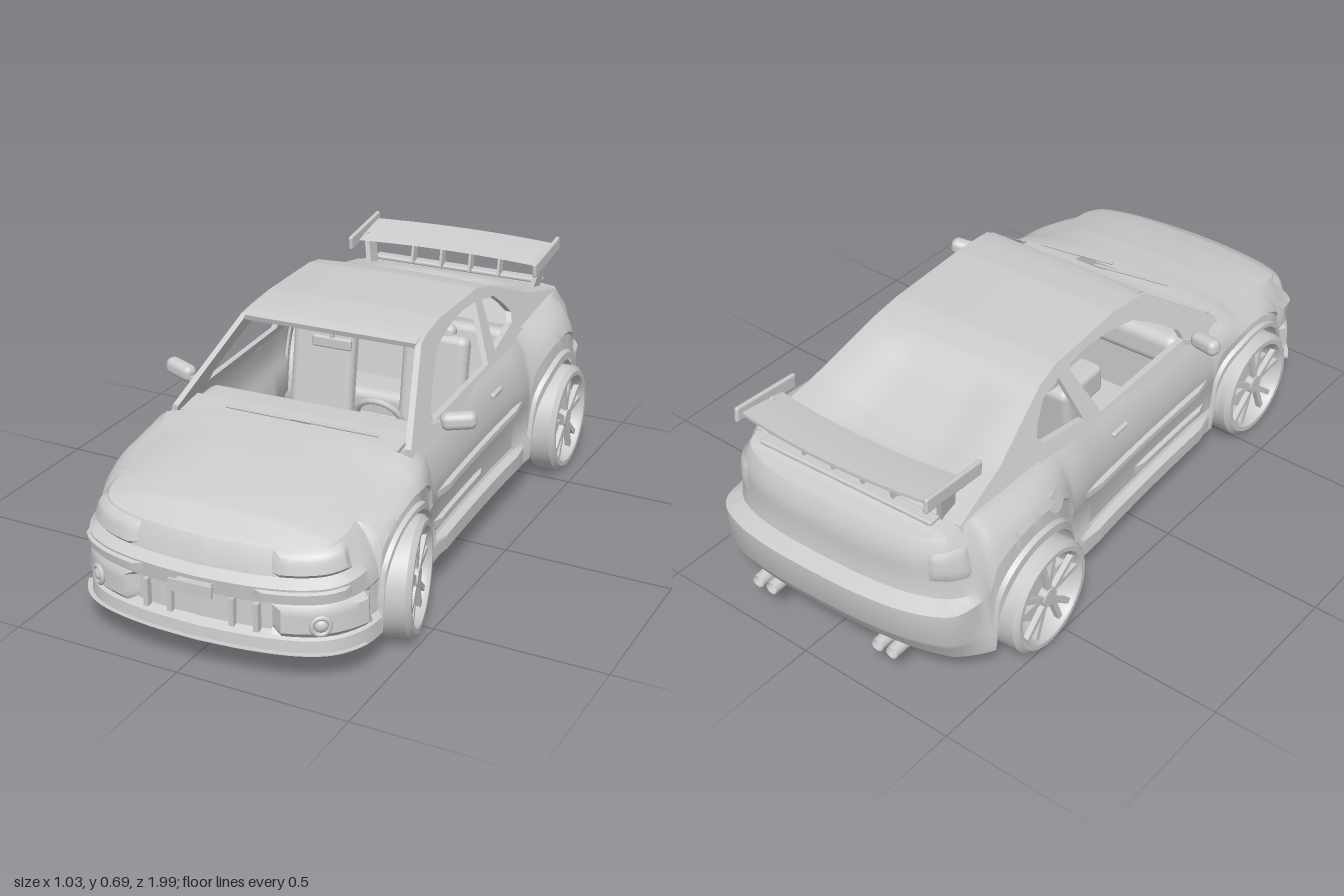
import * as THREE from 'three';
import { toCreasedNormals } from 'three/addons/utils/BufferGeometryUtils.js';
import { RoundedBoxGeometry } from 'three/addons/geometries/RoundedBoxGeometry.js';

const paint = new THREE.MeshStandardMaterial({ color: 0xcccccc, side: THREE.DoubleSide });
const SIDES = [-1, 1];
const { smoothstep } = THREE.MathUtils;

function add(parent, name, geometry, x = 0, y = 0, z = 0, rx = 0, ry = 0, rz = 0) {
  const mesh = new THREE.Mesh(geometry, paint);
  mesh.name = name;
  mesh.position.set(x, y, z);
  mesh.rotation.set(rx, ry, rz);
  parent.add(mesh);
}
const box = (w, h, d) => new THREE.BoxGeometry(w, h, d);
const soft = (w, h, d, r) => new RoundedBoxGeometry(w, h, d, 3, r);
const rod = (r, len, n = 12) => new THREE.CylinderGeometry(r, r, len, n);

// Sheet of quads from a function of two parameters in 0..1
function sheet(nu, nv, fn) {
  const pos = [], index = [];
  for (let i = 0; i <= nu; i++) for (let j = 0; j <= nv; j++) {
    pos.push(...fn(i / nu, j / nv));
    if (i < nu && j < nv) {
      const a = i * (nv + 1) + j, b = a + nv + 1;
      index.push(a, b, a + 1, b, b + 1, a + 1);
    }
  }
  const g = new THREE.BufferGeometry();
  g.setAttribute('position', new THREE.Float32BufferAttribute(pos, 3));
  g.setIndex(index);
  return toCreasedNormals(g, .6);
}

// Linear interpolation in a list of [key, value], keys descending
function keyed(keys, k) {
  if (k >= keys[0][0]) return keys[0][1];
  for (let i = 1; i < keys.length; i++) {
    const [a, va] = keys[i - 1], [b, vb] = keys[i];
    if (k >= b) return va + (vb - va) * (a - k) / (a - b);
  }
  return keys[keys.length - 1][1];
}

// Half plan outline from nose to tail as (x, z)
const LENGTH = 2.6;
const outline = new THREE.SplineCurve([
  [0, .965], [.15, .955], [.28, .927], [.365, .875], [.415, .78], [.43, .65], [.43, .5], [.405, .36], [.4, .1],
  [.405, -.2], [.42, -.38], [.447, -.5], [.45, -.65], [.436, -.78], [.393, -.9], [.29, -.96], [.15, -.985], [0, -.99],
].map(p => new THREE.Vector2(...p)));
outline.arcLengthDivisions = 500;

const shoulder = [[.965, .365], [.87, .38], [.78, .395], [.6, .418], [.42, .45], [.25, .462], [-.2, .475],
  [-.45, .495], [-.75, .505], [-.88, .497], [-.99, .485]];
const hem = [[.8, .09], [.7, .1], [-.78, .1], [-.9, .115], [-.99, .15]];
const crown = [[.91, 0], [.83, .032], [.6, .048], [.42, .035], [-.4, 0], [-.75, .012], [-.9, 0]];
// Rows: height fraction, then inset at the flank, nose and tail
const rows = [[0, 0, 0, .04], [.15, 0, .005, .01], [.2, .012, .03, 0], [.47, .008, .035, 0], [.52, 0, .005, .05],
  [.68, .004, 0, .06], [.75, .008, .028, .058], [.9, .02, .04, .065], [1, .042, .055, .085]];
const AXLES = [.555, -.585], HUB = .166, ARCH = .184;

function lowerEdge(z) {
  let y = keyed(hem, z);
  for (const c of AXLES) {
    const d = Math.abs(z - c);
    if (d < ARCH) y = Math.max(y, HUB + Math.sqrt(ARCH * ARCH - d * d));
  }
  return y;
}
function insetAt(f, z) {
  let j = 1;
  while (j < rows.length - 1 && rows[j][0] < f) j++;
  const a = rows[j - 1], b = rows[j], k = (f - a[0]) / (b[0] - a[0]);
  const v = i => a[i] + (b[i] - a[i]) * k;
  const nose = smoothstep(z, .7, .9), tail = smoothstep(-z, .75, .92);
  // Fenders lean inwards towards their tops
  const lean = .045 * f * f * Math.max(smoothstep(z, .4, .55), smoothstep(-z, .3, .5));
  return (v(1) + lean) * (1 - nose - tail) + v(2) * nose + v(3) * tail;
}
// Point on the lower body: arc length from the nose, height fraction, side, outward offset
function skin(arc, f, side = 1, off = 0) {
  const t = Math.min(1, Math.max(0, arc / LENGTH));
  const p = outline.getPointAt(t), d = outline.getTangentAt(t), lo = lowerEdge(p.y);
  const inset = insetAt(f, p.y) - off, ends = t === 0 || t === 1;
  const x = ends ? 0 : Math.max(0, p.x + d.y * inset);
  return [side * x, lo + (keyed(shoulder, p.y) - lo) * f, p.y - d.x * inset];
}
// Raised panel following the lower body
const patch = (a0, a1, f0, f1, side, off) => sheet(10, 6, (u, v) => {
  const rim = u === 0 || u === 1 || v === 0 || v === 1;
  return skin(a0 + (a1 - a0) * u, f0 + (f1 - f0) * v, side, rim ? 0 : off);
});
// Panel across the car between the two flanks, at the shoulder (f = 1) or the hem (f = 0)
const lid = (a0, a1, f) => sheet(50, 16, (u, v) => {
  const [x, y, z] = skin(a0 + (a1 - a0) * u, f), s = v * 2 - 1;
  return [x * s, y + f * keyed(crown, z) * (1 - Math.abs(s) ** 3), z];
});

// Greenhouse
const roofLine = [[.42, .465], [.155, .66], [.1, .67], [0, .679], [-.28, .672], [-.365, .653], [-.6, .555], [-.8, .505]];
const pillarX = y => .36 - (y - .47) * .43;
function cabinSide(side) {
  const poly = pts => pts.map(p => new THREE.Vector2(...p));
  const shape = new THREE.Shape(poly([...roofLine, [-.8, .48], [-.2, .455], [.42, .44]]));
  shape.holes.push(
    new THREE.Path(poly([[.25, .478], [.24, .51], [.16, .57], [.07, .625], [-.04, .645], [-.14, .652], [-.24, .645], [-.175, .483]])),
    new THREE.Path(poly([[-.25, .5], [-.285, .637], [-.365, .622], [-.41, .585], [-.44, .55], [-.42, .525]])));
  const g = new THREE.ExtrudeGeometry(shape, { depth: .018, bevelEnabled: false });
  const p = g.attributes.position;
  for (let i = 0; i < p.count; i++) {
    const z = p.getX(i), y = p.getY(i), c = p.getZ(i);
    p.setXYZ(i, side * (pillarX(y) - c), y, z);
  }
  g.computeVertexNormals();
  return g;
}
// Roof panel running into a slightly dished rear window
const roof = () => sheet(60, 24, (u, v) => {
  const z = .16 - .96 * u, s = v * 2 - 1, y = keyed(roofLine, z);
  const dish = .025 * smoothstep(-z, .37, .45) * smoothstep(z, -.76, -.66) * (1 - smoothstep(Math.abs(s), .3, .85));
  return [pillarX(y) * s, y + .008 * (1 - s * s) - dish, z];
});

// Wheel with its outer face towards +x
function wheel(name, half) {
  const g = new THREE.Group();
  g.name = name;
  const profile = [[.13, -half], [.152, -half], [.166, -half + .014], [.166, half - .014], [.152, half], [.138, half],
    [.132, half - .008], [.128, half - .02], [.124, -half + .01], [.13, -half]];
  const tyre = new THREE.LatheGeometry(profile.map(p => new THREE.Vector2(...p)), 40).rotateZ(-Math.PI / 2);
  add(g, 'tyreAndRim', toCreasedNormals(tyre, .7));
  for (let i = 0; i < 5; i++) for (const s of SIDES) {
    const a = i * Math.PI * .4 + s * .15;
    add(g, 'spoke', box(.016, .112, .016), half - .02, Math.cos(a) * .075, Math.sin(a) * .075, a + s * .1);
  }
  add(g, 'hub', rod(.028, .025, 20), half - .02, 0, 0, 0, 0, Math.PI / 2);
  add(g, 'brakeDisc', rod(.085, .012, 28), 0, 0, 0, 0, 0, Math.PI / 2);
  add(g, 'brakeCaliper', box(.035, .07, .035), 0, .02, -.075);
  return g;
}

function seat(x) {
  const g = new THREE.Group();
  g.name = 'frontSeat';
  add(g, 'seatCushion', soft(.21, .08, .24, .025), x, .22, -.06);
  add(g, 'seatBack', soft(.205, .32, .06, .025), x, .385, -.19, -.15);
  add(g, 'headrest', soft(.11, .09, .045, .02), x, .527, -.215, -.15);
  return g;
}

export function createModel() {
  const model = new THREE.Group(), car = new THREE.Group();
  model.name = 'sportsCoupe';
  car.name = 'car';
  car.rotation.y = .045;
  model.add(car);

  // Bodywork
  const N = 200, M = rows.length - 1;
  add(car, 'lowerBody', sheet(2 * N, M, (u, v) => {
    const i = Math.round(u * 2 * N) - N;
    return skin(Math.abs(i) / N * LENGTH, rows[Math.round(v * M)][0], i < 0 ? -1 : 1);
  }));
  add(car, 'hood', lid(0, .85, 1));
  add(car, 'rearDeck', lid(1.72, LENGTH, 1));
  add(car, 'frontUndertray', lid(0, .5, 0));
  add(car, 'rearUndertray', lid(2.06, LENGTH, 0));
  add(car, 'roofAndRearWindow', roof());
  add(car, 'windscreenHeader', box(.53, .016, .03), 0, .656, .148, .3);

  for (const s of SIDES) {
    add(car, 'cabinSide', cabinSide(s));
    // Lamps and side trim
    add(car, 'headlight', patch(.2, .44, .75, .98, s, .012));
    add(car, 'tailLight', patch(2.1, 2.26, .66, .9, s, .007));
    add(car, 'sideMoulding', patch(.95, 1.6, .5, .58, s, .012));
    add(car, 'sideSkirt', patch(.93, 1.62, 0, .18, s, .014));
    add(car, 'skirtBlade', patch(.95, 1.32, .24, .32, s, .012));
    add(car, 'bumperStrip', patch(.16, .42, .55, .66, s, .01));
    add(car, 'bumperCheek', patch(.2, .5, .17, .5, s, .028));
    add(car, 'doorHandle', soft(.015, .016, .07, .006), s * .395, .415, -.14);
    add(car, 'fogLamp', new THREE.TorusGeometry(.024, .007, 8, 20), s * .325, .178, .905, 0, s * .6);
    add(car, 'fogLens', new THREE.SphereGeometry(.022, 14, 10), s * .32, .178, .895);
    // Door mirrors
    add(car, 'mirrorHousing', soft(.1, .05, .045, .02), s * .43, .495, .25, 0, s * .3, s * .12);
    add(car, 'mirrorStalk', box(.06, .016, .03), s * .375, .478, .26, 0, 0, s * .3);
    // Wipers
    add(car, 'wiper', rod(.004, .25, 6), s * .1 + .04, .492, .425, 0, .08, 1.52);
    // Exhaust tips
    for (const d of SIDES) {
      const tip = new THREE.CylinderGeometry(.021, .019, .08, 16, 1, true);
      add(car, 'exhaustTip', tip, s * .21 + d * .024, .127, -.925, Math.PI / 2);
    }
    // Wheel wells and wheels, the left front one steered outwards
    AXLES.forEach((z, i) => {
      const liner = new THREE.CylinderGeometry(ARCH, ARCH, .17, 24, 1, true, 0, Math.PI).rotateZ(Math.PI / 2);
      add(car, 'wheelWell', liner, s * (i ? .35 : .335), HUB, z);
      const wall = new THREE.CircleGeometry(ARCH, 24, 0, Math.PI).rotateY(Math.PI / 2);
      add(car, 'wheelWellWall', wall, s * (i ? .265 : .25), HUB, z);
      const w = wheel(i ? 'rearWheel' : 'frontWheel', i ? .046 : .05);
      w.position.set(s * (i ? .438 : .403), HUB, z);
      w.rotation.y = (s < 0 ? Math.PI : 0) + (i ? 0 : s > 0 ? .2 : -.045);
      car.add(w);
    });
    add(car, 'chassisRail', box(.035, .04, .46), s * .23, .15, -.61);
    car.add(seat(s * .18));
  }

  // Nose details
  add(car, 'numberPlate', box(.125, .034, .008), 0, .255, .99);
  add(car, 'plateBracket', box(.1, .02, .03), 0, .255, .972);
  for (const x of [-.16, -.09, .09, .16]) add(car, 'intakeBar', box(.014, .08, .02), x, .182, .935);
  add(car, 'splitterLip', sheet(40, 1, (u, v) => {
    const a = u * 2 - 1, [x, , z] = skin(Math.abs(a) * .46, 0, Math.sign(a) || 1, v ? .012 : -.03);
    return [x, .1, z];
  }));
  add(car, 'fuelCap', rod(.032, .014, 20), -.425, .42, -.5, 0, 0, Math.PI / 2 - .25);

  // Rear wing
  const foil = new THREE.Shape();
  foil.moveTo(-.75, .598);
  foil.quadraticCurveTo(-.82, .615, -.905, .626);
  foil.lineTo(-.905, .616);
  foil.quadraticCurveTo(-.82, .588, -.75, .598);
  const blade = new THREE.ExtrudeGeometry(foil, { depth: .62, steps: 12, bevelEnabled: false, curveSegments: 6 });
  blade.translate(0, 0, -.31).rotateY(-Math.PI / 2);
  const bp = blade.attributes.position;
  for (let i = 0; i < bp.count; i++) bp.setZ(i, bp.getZ(i) + .25 * bp.getX(i) ** 2);
  add(car, 'wingBlade', toCreasedNormals(blade, .6));
  for (const s of SIDES) {
    add(car, 'wingEndPlate', soft(.014, .045, .23, .006), s * .315, .613, -.785, .1);
    add(car, 'wingLeg', box(.016, .12, .06), s * .29, .548, -.785, -.25, 0, -s * .2);
    for (const x of [.05, .15]) add(car, 'wingPost', box(.008, .09, .035), s * x, .56, -.82, -.2);
  }
  add(car, 'deckLip', soft(.58, .014, .04, .006), 0, .516, -.83);

  // Underbody
  add(car, 'floorPan', box(.79, .012, .76), 0, .106, -.015);
  add(car, 'firewall', box(.66, .33, .012), 0, .27, .37);
  add(car, 'trunkFloor', box(.46, .012, .42), 0, .24, -.68);
  for (const z of [-.45, -.72]) add(car, 'crossMember', box(.5, .035, .04), 0, .14, z);
  AXLES.forEach((z, i) => add(car, 'axle', rod(.016, i ? .84 : .76), 0, HUB, z, 0, 0, Math.PI / 2));

  // Interior
  add(car, 'dashboard', soft(.68, .11, .16, .035), 0, .415, .31);
  add(car, 'cowl', box(.66, .012, .1), 0, .462, .385, .1);
  add(car, 'centreConsole', soft(.09, .1, .42, .02), 0, .17, .1);
  add(car, 'steeringWheel', new THREE.TorusGeometry(.068, .009, 8, 24), .17, .43, .19, .45);
  add(car, 'steeringSpoke', box(.13, .02, .008), .17, .43, .19, .45);
  add(car, 'steeringColumn', rod(.014, .1), .17, .41, .235, 2.02);
  add(car, 'rearBench', soft(.6, .1, .16, .03), 0, .24, -.34);
  add(car, 'rearBenchBack', soft(.62, .26, .06, .025), 0, .36, -.43, -.2);
  add(car, 'rearViewMirror', soft(.12, .035, .015, .007), 0, .61, .14);
  add(car, 'mirrorArm', box(.012, .04, .012), 0, .64, .14);
  return model;
}
